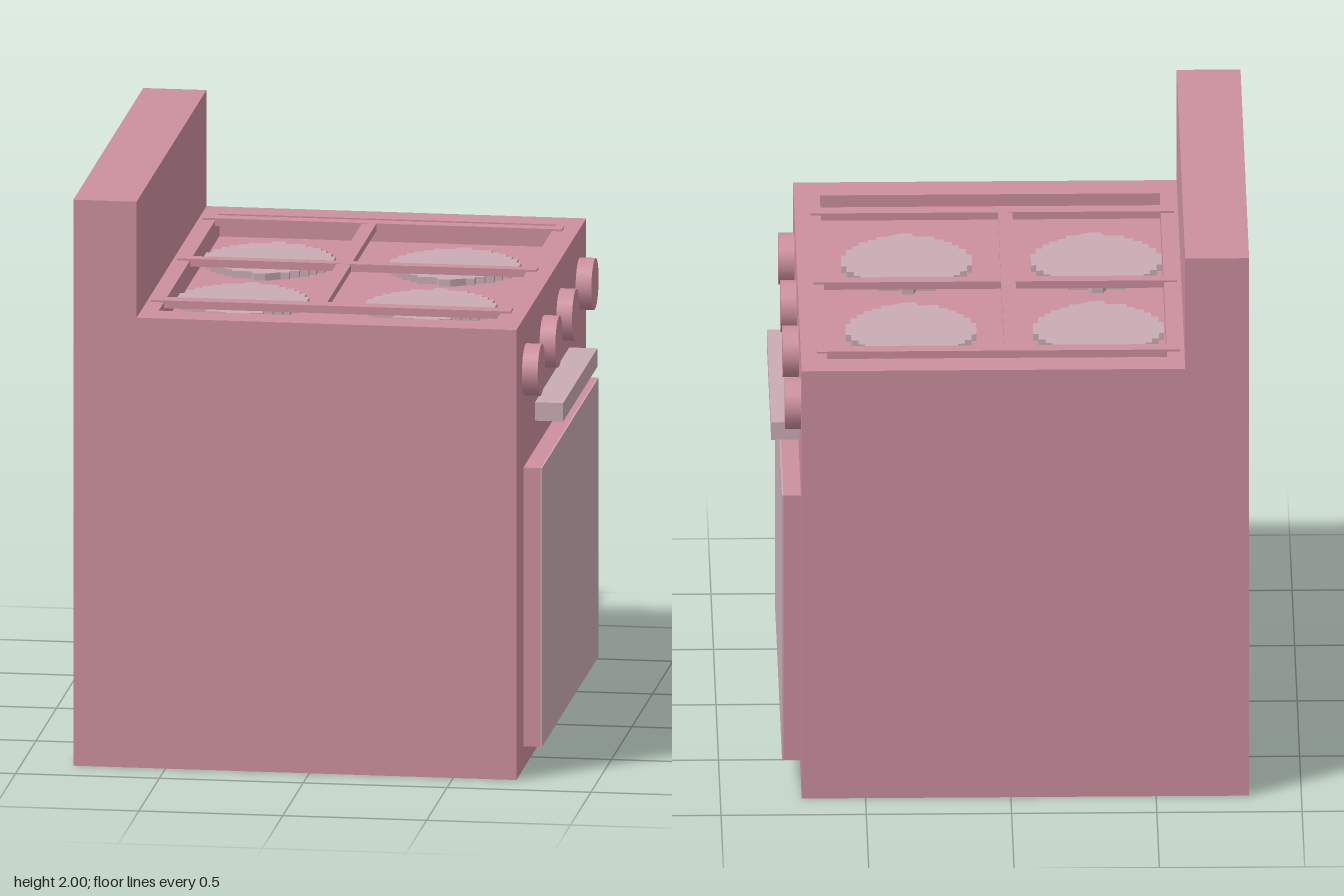
import * as THREE from 'three';

const pink = new THREE.MeshStandardMaterial({ color: 0xcc8f9d });
pink.name = 'rose enamel';
const pale = new THREE.MeshStandardMaterial({ color: 0xcaacb4 });
pale.name = 'pale trim';

const TOP = 1.59, FLOOR = 1.51;

export function createModel() {
  const model = new THREE.Group();

  const add = (name, geometry, material) => {
    const mesh = new THREE.Mesh(geometry, material);
    mesh.name = name;
    model.add(mesh);
    return mesh;
  };
  // Box given by its limits along each axis
  const box = (name, [x0, x1], [y0, y1], [z0, z1], material = pink) => {
    const mesh = add(name, new THREE.BoxGeometry(x1 - x0, y1 - y0, z1 - z0), material);
    mesh.position.set((x0 + x1) / 2, (y0 + y1) / 2, (z0 + z1) / 2);
    return mesh;
  };
  // Plan outline (x, -z) raised upwards
  const raise = (shape, height) =>
    new THREE.ExtrudeGeometry(shape, { depth: height, bevelEnabled: false }).rotateX(-Math.PI / 2);
  const rectangle = (target, x0, x1, z0, z1) => {
    target.moveTo(x0, -z1).lineTo(x1, -z1).lineTo(x1, -z0).lineTo(x0, -z0).closePath();
    return target;
  };

  // Body, with a sunken cooktop framed by a rim
  box('ovenBody', [-0.82, 0.72], [0, FLOOR], [-0.853, 0.853]);
  const rim = rectangle(new THREE.Shape(), -0.82, 0.72, -0.853, 0.853);
  rim.holes.push(rectangle(new THREE.Path(), -0.54, 0.63, -0.745, 0.735));
  add('cooktopRim', raise(rim, TOP - FLOOR), pink).position.y = FLOOR;
  box('backPanel', [-0.82, -0.6], [TOP, 2], [-0.853, 0.853]);

  // Pan supports: three cross bars and one long bar
  for (const z of [[-0.695, -0.645], [-0.07, -0.025], [0.555, 0.61]])
    box('grateBar', [-0.585, 0.665], [1.57, 1.597], z);
  box('grateLongBar', [-0.03, 0.02], [1.57, 1.596], [-0.69, 0.605]);

  // Burners with a stepped rim and a small tooth at each end
  const steps = [[0.1, 0.215], [0.13, 0.187], [0.16, 0.165], [0.183, 0.135], [0.207, 0.1], [0.225, 0.05]];
  const quarter = [];
  steps.forEach(([x, y], i) => {
    quarter.push([x, y]);
    quarter.push([x, i + 1 < steps.length ? steps[i + 1][1] : 0]);
  });
  const mirror = (sx, sy) => quarter.map(([x, y]) => [x * sx, y * sy]);
  const outline = [
    [-0.03, 0.215], [-0.02, 0.245], [0.02, 0.245], [0.03, 0.215],
    ...mirror(1, 1), ...mirror(1, -1).reverse().slice(1),
    [0.07, -0.215], [0.02, -0.243], [-0.02, -0.243], [-0.03, -0.215],
    ...mirror(-1, -1), ...mirror(-1, 1).reverse().slice(1),
  ].map(([x, y]) => new THREE.Vector2(x, y));
  const burner = raise(new THREE.Shape(outline), 0.025);
  for (const [x, z] of [[-0.31, -0.345], [0.335, -0.345], [-0.313, 0.275], [0.34, 0.275]])
    add('burner', burner, pale).position.set(x, FLOOR, z);

  // Control knobs
  const knob = new THREE.CylinderGeometry(0.09, 0.09, 0.055, 18).rotateZ(-Math.PI / 2);
  for (const z of [0.63, 0.2, -0.21, -0.68])
    add('knob', knob, pink).position.set(0.7475, 1.4, z);

  // Oven door with a pale face, and its handle
  box('ovenDoor', [0.72, 0.78], [0.08, 1.065], [-0.7, 0.685]);
  box('doorFace', [0.78, 0.785], [0.08, 1.065], [-0.7, 0.685], pale);
  box('doorHandle', [0.72, 0.818], [1.165, 1.23], [-0.438, 0.4], pale);

  return model;
}
